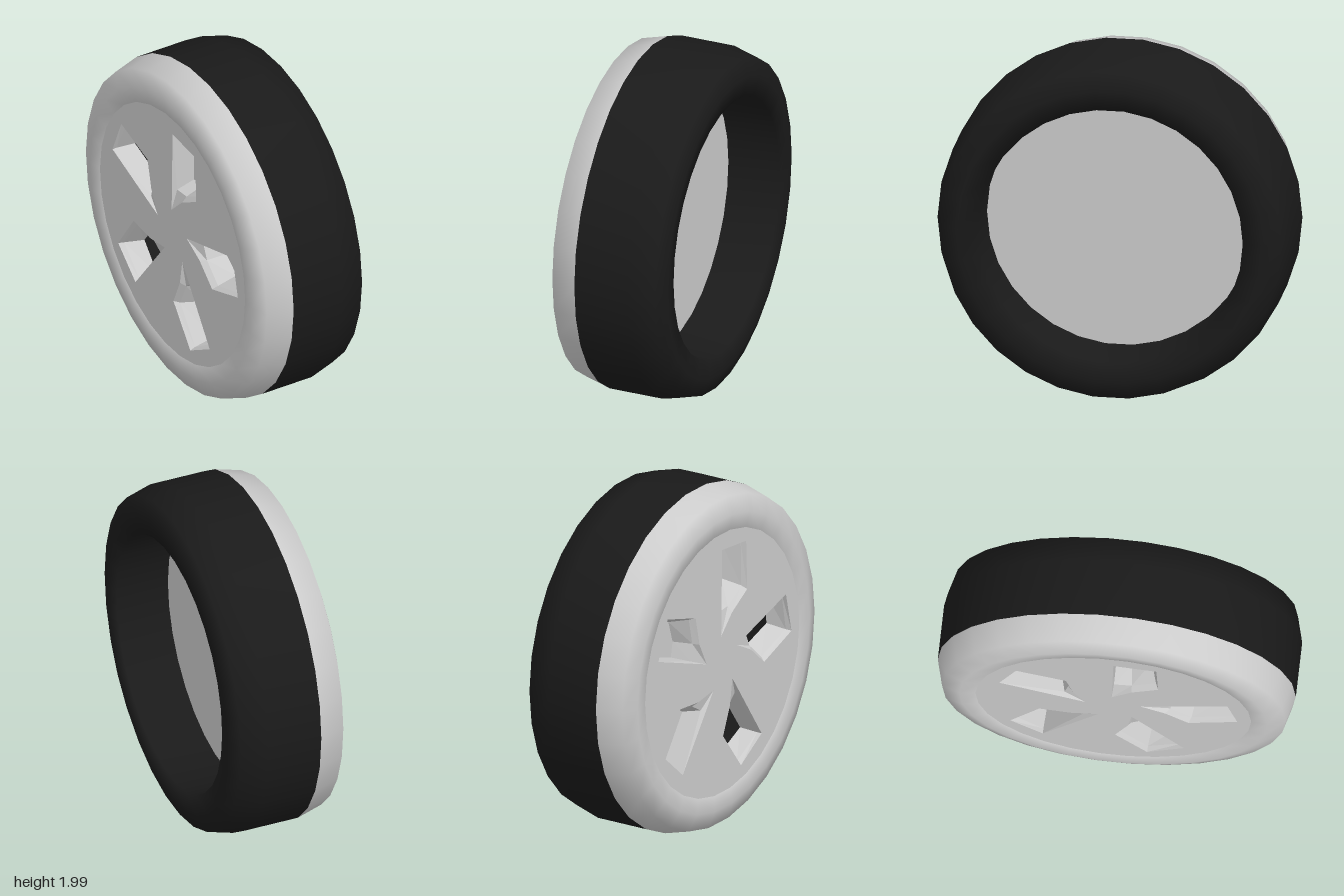
import * as THREE from 'three';

const SIDES = 30;
const FACE_X = -0.335; // outer plane of the wheel face
const SPOKES = 5;

const grey = new THREE.MeshStandardMaterial({ color: 0xcccccc, side: THREE.DoubleSide });
const faceted = new THREE.MeshStandardMaterial({ color: 0xcccccc, flatShading: true, side: THREE.DoubleSide });
const rubber = new THREE.MeshStandardMaterial({ color: 0x1a1a1a, side: THREE.DoubleSide });

function add(parent, name, geometry, material) {
  const mesh = new THREE.Mesh(geometry, material);
  mesh.name = name;
  parent.add(mesh);
  return mesh;
}

// Revolve [radius, x] pairs around the x axis
function ring(profile) {
  const points = profile.map(([r, x]) => new THREE.Vector2(r, x));
  return new THREE.LatheGeometry(points, SIDES).rotateZ(-Math.PI / 2);
}

const turn = ([u, v], a) => new THREE.Vector2(
  u * Math.cos(a) - v * Math.sin(a),
  u * Math.sin(a) + v * Math.cos(a)
);

// Window outlines from the face inwards, drawn for the top window
const windowRings = [
  { depth: 0, outline: [[0, 0.67], [0.24, 0.65], [0.25, 0.36], [0.1, 0.27], [-0.01, 0.16]] },
  { depth: 0.03, outline: [[0, 0.67], [0.23, 0.64], [0.235, 0.38], [0.1, 0.3], [0, 0.29]] },
  { depth: 0.14, outline: [[0, 0.66], [0.2, 0.62], [0.2, 0.41], [0.09, 0.33], [0, 0.32]] },
];

// Walls joining the successive outlines of one window
function windowWalls(angle) {
  const n = windowRings[0].outline.length;
  const positions = [];
  const index = [];
  windowRings.forEach(({ depth, outline }, k) => {
    outline.forEach((p, i) => {
      const q = turn(p, angle);
      positions.push(q.x, q.y, -depth);
      if (k === 0) return;
      const j = (i + 1) % n;
      const a = (k - 1) * n + i, b = (k - 1) * n + j;
      const c = k * n + i, d = k * n + j;
      index.push(a, c, b, b, c, d);
    });
  });
  const g = new THREE.BufferGeometry();
  g.setAttribute('position', new THREE.Float32BufferAttribute(positions, 3));
  g.setIndex(index);
  g.computeVertexNormals();
  return g;
}

export function createModel() {
  const wheel = new THREE.Group();
  wheel.name = 'wheel';
  const body = new THREE.Group();
  body.name = 'wheelBody';
  body.position.y = Math.sin(THREE.MathUtils.degToRad(84));
  wheel.add(body);

  // Tyre: outer sidewall with shoulder, then tread, inner sidewall and barrel
  add(body, 'outerSidewall', ring([
    [0.76, -0.3], [0.77, FACE_X], [0.86, -0.345], [0.96, -0.31], [1, -0.16],
  ]), grey);
  add(body, 'tread', ring([
    [1, -0.16], [1, 0.16], [0.96, 0.31], [0.86, 0.345], [0.745, 0.33], [0.745, -0.33],
  ]), rubber);

  // Disc closing the inner side of the wheel
  const disc = add(body, 'backDisc', new THREE.CircleGeometry(0.745, SIDES), grey);
  disc.rotation.y = Math.PI / 2;
  disc.position.x = 0.02;

  // Spoked face, built facing +z and turned to -x
  const face = new THREE.Group();
  face.name = 'spokedFace';
  face.rotation.y = -Math.PI / 2;
  face.position.x = FACE_X;
  body.add(face);

  const plate = new THREE.Shape(Array.from({ length: SIDES }, (_, i) =>
    turn([0.77, 0], (i * 2 * Math.PI) / SIDES)));
  for (let i = 0; i < SPOKES; i++) {
    const angle = (i * 2 * Math.PI) / SPOKES;
    plate.holes.push(new THREE.Path(windowRings[0].outline.map((p) => turn(p, angle))));
    add(face, 'windowWalls', windowWalls(angle), faceted);
  }
  add(face, 'spokePlate', new THREE.ShapeGeometry(plate), grey);

  return wheel;
}
